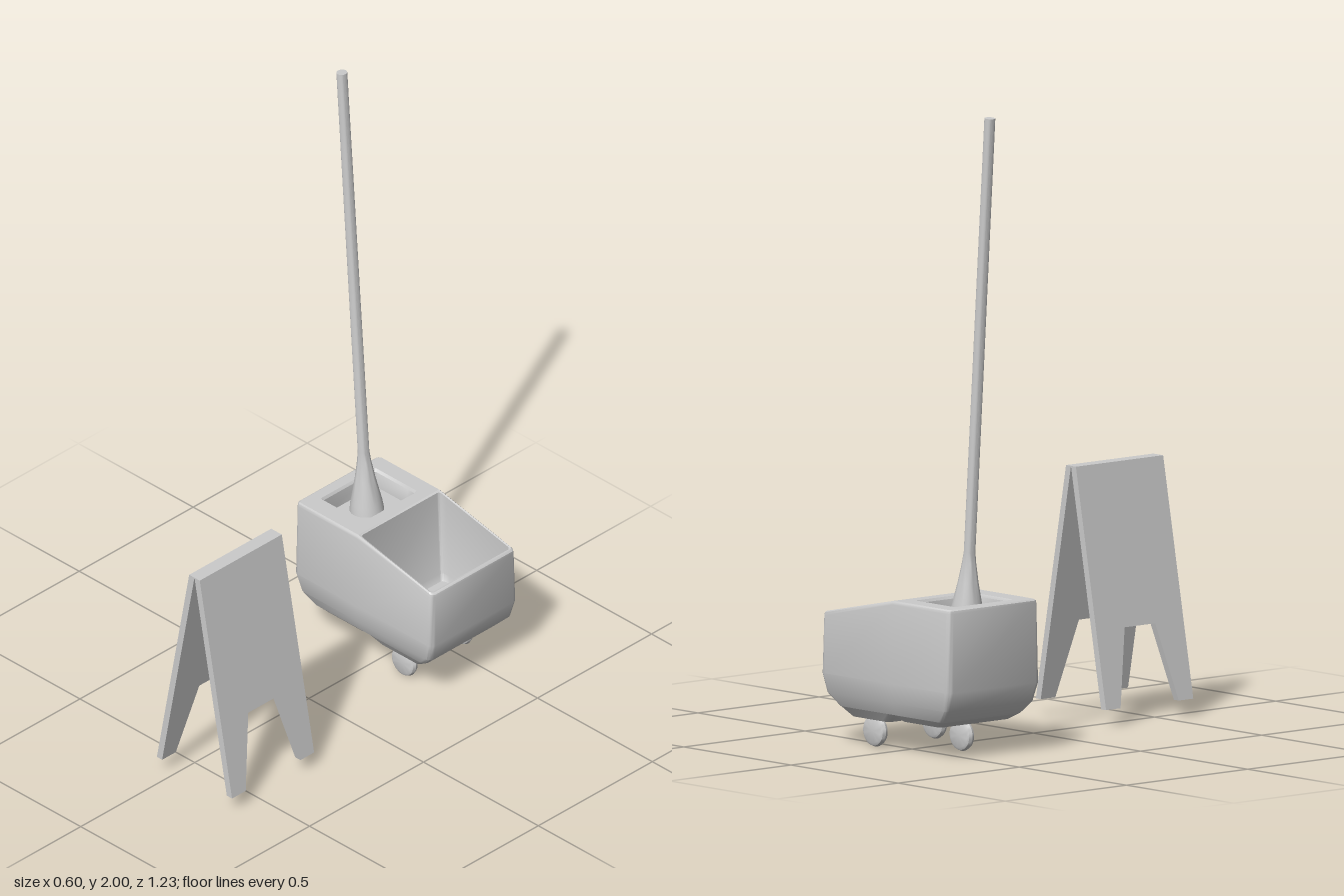
import * as THREE from 'three';
import { toCreasedNormals } from 'three/addons/utils/BufferGeometryUtils.js';

const material = new THREE.MeshStandardMaterial({ color: 0xcccccc });
const FOLD = -0.03; // x where the bucket rim starts to slope down
const rimY = (x) => 0.48 - Math.max(0, x - FOLD) * 0.212;
const below = (d) => (x) => rimY(x) - d;

function mesh(name, geometry, parent) {
  const m = new THREE.Mesh(geometry, material);
  m.name = name;
  parent.add(m);
  return m;
}

// Rounded rectangle in the ground plane; r holds one radius per corner, y is a height or a rule of x
function ring([x0, x1, z0, z1, r, y]) {
  const radii = Array.isArray(r) ? r : [r, r, r, r];
  const signs = [[1, 1], [-1, 1], [-1, -1], [1, -1]];
  const points = [];
  const put = (x, z) => points.push([x, typeof y === 'function' ? y(x) : y, z]);
  const fold = Math.min(Math.max(FOLD, x0 + 0.03), x1 - 0.03);
  signs.forEach(([sx, sz], k) => {
    const rad = radii[k];
    const cx = sx > 0 ? x1 - rad : x0 + rad;
    const cz = sz > 0 ? z1 - rad : z0 + rad;
    for (let i = 0; i <= 4; i++) {
      const a = (k + i / 4) * Math.PI / 2;
      put(cx + rad * Math.cos(a), cz + rad * Math.sin(a));
    }
    if (k === 0) put(fold, z1);
    if (k === 2) put(fold, z0);
  });
  return points;
}

// Skin over rings: upward order faces outward, downward order faces inward
function loft(specs, cap) {
  const rings = specs.map(ring);
  const n = rings[0].length;
  const pos = [];
  const tri = (a, b, c) => pos.push(...a, ...b, ...c);
  for (let k = 0; k < rings.length - 1; k++) {
    const a = rings[k], b = rings[k + 1];
    for (let i = 0; i < n; i++) {
      const j = (i + 1) % n;
      tri(a[i], b[i], a[j]);
      tri(b[i], b[j], a[j]);
    }
  }
  const end = cap === 'bottom' ? rings[0] : rings[rings.length - 1];
  const s = cap === 'bottom' ? specs[0] : specs[specs.length - 1];
  const center = [(s[0] + s[1]) / 2, end[0][1], (s[2] + s[3]) / 2];
  for (let i = 0; i < n; i++) {
    const j = (i + 1) % n;
    if (cap === 'bottom') tri(center, end[i], end[j]);
    else tri(center, end[j], end[i]);
  }
  const g = new THREE.BufferGeometry();
  g.setAttribute('position', new THREE.Float32BufferAttribute(pos, 3));
  return toCreasedNormals(g, 0.6);
}

function buildBucket() {
  const bucket = new THREE.Group();
  bucket.name = 'bucket';
  // Outer shell with a softened rim
  mesh('bucketShell', loft([
    [-0.245, 0.245, -0.59, -0.26, 0.02, 0.12],
    [-0.282, 0.285, -0.608, -0.242, 0.02, 0.16],
    [-0.3, 0.3, -0.615, -0.235, 0.02, 0.22],
    [-0.297, 0.297, -0.608, -0.242, 0.015, below(0.012)],
    [-0.296, 0.296, -0.606, -0.244, 0.014, below(0.004)],
    [-0.29, 0.29, -0.602, -0.248, 0.012, below(0)],
  ], 'bottom'), bucket);
  // Two shallow lobes under the shell
  mesh('wringerBase', loft([
    [-0.21, -0.03, -0.57, -0.28, 0.015, 0.1],
    [-0.245, 0.0, -0.59, -0.26, 0.02, 0.121],
  ], 'bottom'), bucket);
  mesh('basinBase', loft([
    [0.03, 0.205, -0.57, -0.28, 0.015, 0.09],
    [-0.015, 0.245, -0.59, -0.26, 0.02, 0.121],
  ], 'bottom'), bucket);
  // Rim and inner walls of each compartment
  mesh('wringerTray', loft([
    [-0.29, FOLD, -0.602, -0.248, [0, 0.012, 0.012, 0], 0.48],
    [-0.255, -0.07, -0.548, -0.308, 0.006, 0.48],
    [-0.249, -0.076, -0.542, -0.314, 0.006, 0.472],
    [-0.246, -0.079, -0.539, -0.317, 0.006, 0.42],
  ], 'floor'), bucket);
  mesh('basin', loft([
    [FOLD, 0.29, -0.602, -0.248, [0.012, 0, 0, 0.012], below(0)],
    [-0.024, 0.284, -0.597, -0.253, 0.01, below(0.002)],
    [-0.002, 0.278, -0.588, -0.264, 0.012, 0.19],
    [0.008, 0.27, -0.58, -0.272, 0.012, 0.17],
  ], 'floor'), bucket);
  return bucket;
}

function buildWheels() {
  const wheels = new THREE.Group();
  wheels.name = 'wheels';
  const profile = [[0, -0.014], [0.038, -0.014], [0.046, -0.01], [0.05, 0], [0.046, 0.01], [0.038, 0.014], [0, 0.014]]
    .map(([r, h]) => new THREE.Vector2(r, h));
  const g = toCreasedNormals(new THREE.LatheGeometry(profile, 28).rotateX(Math.PI / 2), 0.6);
  for (const [x, z] of [[-0.13, -0.41], [0.115, -0.305], [0.115, -0.55]]) {
    mesh('wheel', g, wheels).position.set(x, 0.053, z);
  }
  return wheels;
}

// Leaning handle with a flared socket
function buildMop() {
  const mop = new THREE.Group();
  mop.name = 'mop';
  const foot = new THREE.Vector3(-0.171, 0.425, -0.427);
  const tip = new THREE.Vector3(-0.28, 1.999, -0.427);
  const length = foot.distanceTo(tip);
  const profile = [[0, 0], [0.054, 0], [0.05, 0.03], [0.032, 0.115], [0.022, 0.175], [0.018, 0.21], [0.017, length], [0, length]]
    .map(([r, h]) => new THREE.Vector2(r, h));
  const handle = mesh('mopHandle', toCreasedNormals(new THREE.LatheGeometry(profile, 24), 0.6), mop);
  handle.position.copy(foot);
  handle.quaternion.setFromUnitVectors(new THREE.Vector3(0, 1, 0), tip.sub(foot).normalize());
  return mop;
}

// Folding floor sign: two notched panels leaning against each other
function buildSign() {
  const sign = new THREE.Group();
  sign.name = 'floorSign';
  const outline = [[-0.18, 0.055], [-0.12, 0.055], [-0.063, 0.297], [0.063, 0.297], [0.12, 0.055], [0.18, 0.055], [0.18, 0.8], [-0.18, 0.8]]
    .map(([z, y]) => new THREE.Vector2(z, y));
  for (const side of [-1, 1]) {
    const g = new THREE.ExtrudeGeometry(new THREE.Shape(outline), { depth: 0.023, bevelEnabled: false });
    g.rotateY(Math.PI / 2);
    if (side < 0) g.translate(-0.023, 0, 0);
    const p = g.attributes.position;
    for (let i = 0; i < p.count; i++) p.setX(i, p.getX(i) + side * (0.8 - p.getY(i)) * 0.189);
    g.computeVertexNormals();
    mesh(side < 0 ? 'rightSignPanel' : 'leftSignPanel', g, sign).position.set(0.113, 0, 0.435);
  }
  return sign;
}

export function createModel() {
  const model = new THREE.Group();
  model.name = 'mopBucketAndSign';
  model.add(buildBucket(), buildWheels(), buildMop(), buildSign());
  return model;
}
